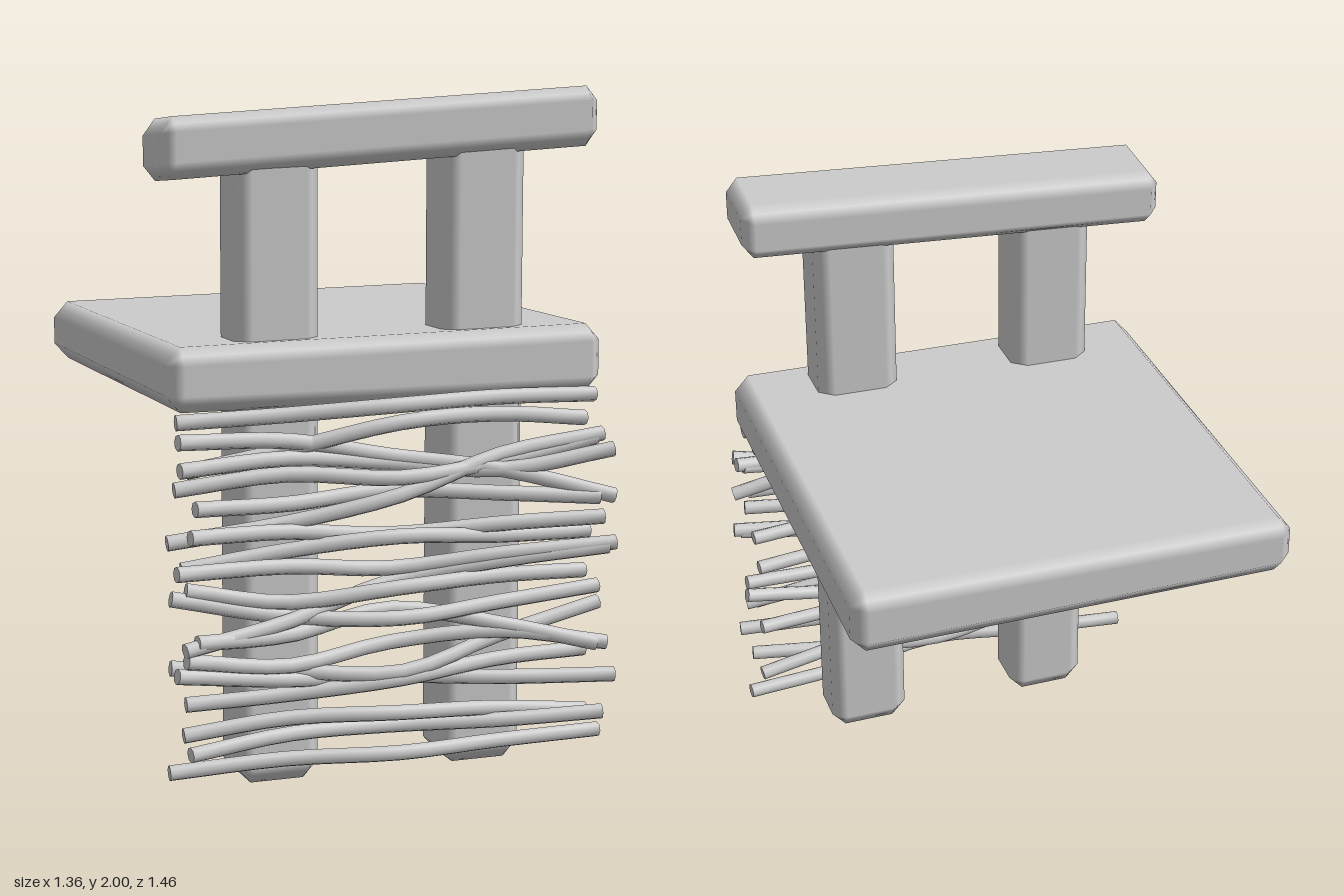
import * as THREE from 'three';
import { toCreasedNormals } from 'three/addons/utils/BufferGeometryUtils.js';

const material = new THREE.MeshStandardMaterial({ color: 0xcccccc });

// Smooth-shaded box with one chamfer on every edge; bend(v) may shift its vertices.
function beam(name, min, max, chamfer, bend) {
  const geometry = new THREE.BoxGeometry(1, 1, 1, 3, 3, 3);
  const pos = geometry.attributes.position, nor = geometry.attributes.normal;
  const v = new THREE.Vector3(), n = new THREE.Vector3();
  for (let i = 0; i < pos.count; i++) {
    v.fromBufferAttribute(pos, i);
    const axes = [0, 1, 2];
    const outer = axes.map((a) => Math.abs(v.getComponent(a)) > 0.4);
    const count = outer.filter(Boolean).length;
    axes.forEach((a) => {
      const sign = Math.sign(v.getComponent(a));
      const inset = outer[a] ? chamfer[a] * (count - 1) / count : chamfer[a];
      n.setComponent(a, outer[a] ? sign : 0);
      v.setComponent(a, (min[a] + max[a]) / 2 + sign * ((max[a] - min[a]) / 2 - inset));
    });
    n.normalize();
    if (bend) bend(v);
    pos.setXYZ(i, v.x, v.y, v.z);
    nor.setXYZ(i, n.x, n.y, n.z);
  }
  const mesh = new THREE.Mesh(geometry, material);
  mesh.name = name;
  return mesh;
}

// Twig heights at five stations from right (-x) to left (+x).
const twigHeights = [
  [1.08, 1.09, 1.11, 1.11, 1.10],
  [1.04, 1.02, 0.95, 0.90, 0.81],
  [0.94, 0.99, 1.06, 1.06, 1.03],
  [0.96, 0.97, 0.93, 0.90, 0.95],
  [0.89, 0.92, 0.90, 0.92, 0.97],
  [0.85, 0.84, 0.85, 0.83, 0.81],
  [0.74, 0.78, 0.85, 0.94, 0.98],
  [0.77, 0.76, 0.72, 0.74, 0.75],
  [0.66, 0.70, 0.73, 0.70, 0.69],
  [0.67, 0.66, 0.62, 0.65, 0.67],
  [0.60, 0.55, 0.58, 0.58, 0.57],
  [0.45, 0.50, 0.58, 0.63, 0.66],
  [0.58, 0.51, 0.49, 0.50, 0.52],
  [0.47, 0.46, 0.50, 0.44, 0.37],
  [0.38, 0.35, 0.33, 0.40, 0.47],
  [0.42, 0.37, 0.40, 0.42, 0.37],
  [0.27, 0.28, 0.31, 0.33, 0.33],
  [0.38, 0.33, 0.30, 0.28, 0.27],
  [0.18, 0.21, 0.21, 0.18, 0.14],
  [0.15, 0.17, 0.15, 0.15, 0.16],
  [0.075, 0.09, 0.09, 0.08, 0.075],
];

function twig(heights, index) {
  const reach = 0.645 + 0.03 * Math.sin(index * 2.3);
  const xs = [-reach, -0.33, 0, 0.33, reach];
  const zs = index % 2 ? [0.70, 0.655, 0.60, 0.655, 0.705] : [0.605, 0.63, 0.685, 0.63, 0.605];
  const path = new THREE.CatmullRomCurve3(
    heights.map((y, i) => new THREE.Vector3(xs[i], y, zs[i])));
  const section = new THREE.Shape(Array.from({ length: 8 }, (_, i) => {
    const a = i * Math.PI / 4;
    return new THREE.Vector2(0.023 * Math.cos(a), 0.023 * Math.sin(a));
  }));
  const geometry = new THREE.ExtrudeGeometry(section,
    { steps: 16, bevelEnabled: false, extrudePath: path });
  const mesh = new THREE.Mesh(toCreasedNormals(geometry, 1.2), material);
  mesh.name = 'twig' + (index + 1);
  return mesh;
}

export function createModel() {
  const model = new THREE.Group();
  model.name = 'chair';

  // Slab whose top rises slightly toward the left
  model.add(beam('seat', [-0.67, 1.105, -0.735], [0.665, 1.30, 0.635], [0.045, 0.05, 0.045],
    (v) => { if (v.y > 1.2) v.y += 0.015 * v.x; }));

  // Posts running from the ground up into the rail
  model.add(beam('rightPost', [-0.452, 0, 0.383], [-0.20, 1.83, 0.572], [0.045, 0.05, 0.035]));
  model.add(beam('leftPost', [0.182, 0, 0.383], [0.438, 1.90, 0.572], [0.045, 0.05, 0.035]));

  // Sloping top rail
  model.add(beam('topRail', [-0.67, 1.785, 0.345], [0.66, 1.96, 0.607], [0.035, 0.045, 0.045],
    (v) => { v.y += 0.06 * v.x + 0.07 * (v.z - 0.48); }));

  // Woven twig screen in front of the posts
  const screen = new THREE.Group();
  screen.name = 'twigScreen';
  twigHeights.forEach((heights, i) => screen.add(twig(heights, i)));
  model.add(screen);
  return model;
}
